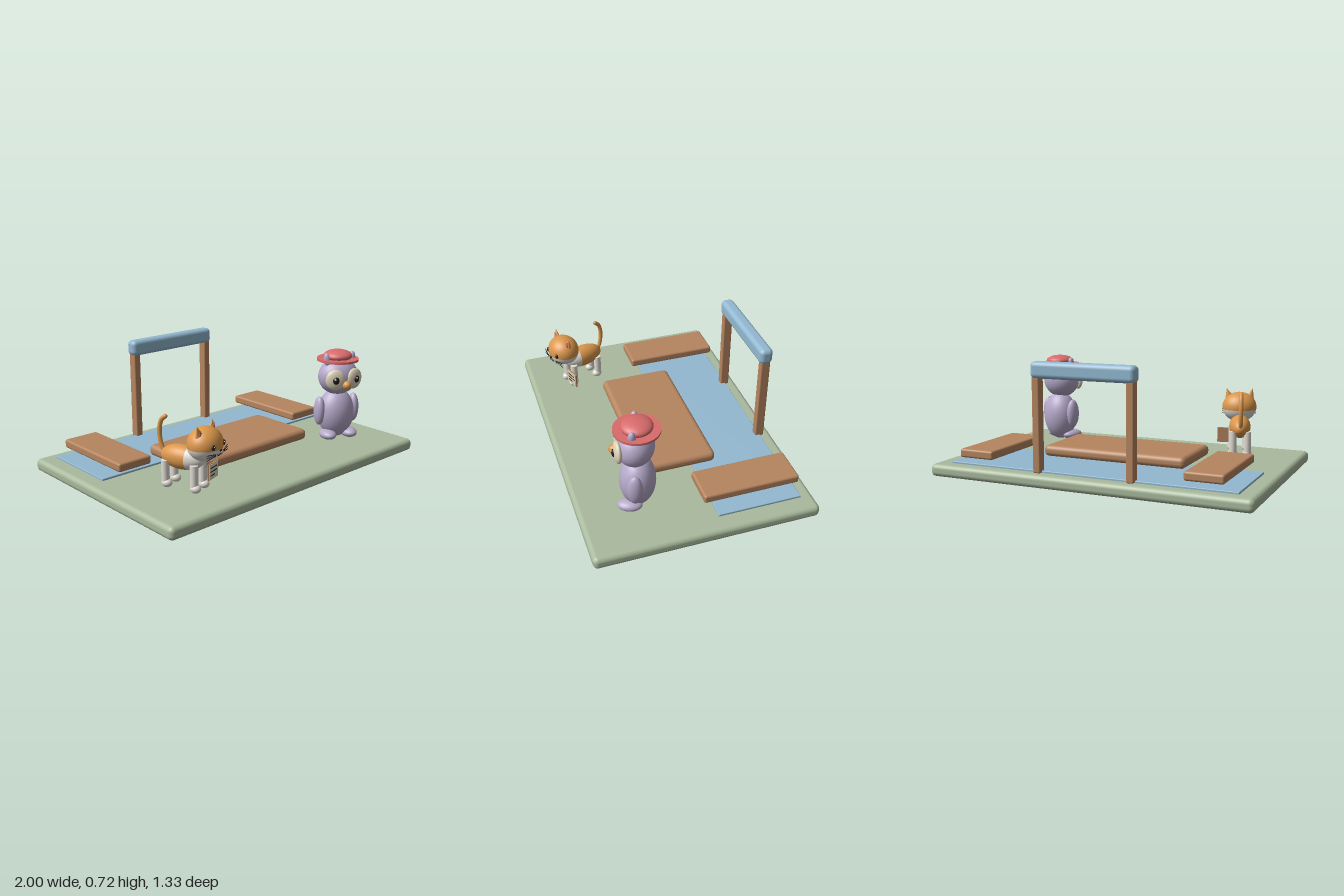
import * as THREE from 'three';
import { RoundedBoxGeometry } from 'three/addons/geometries/RoundedBoxGeometry.js';

const paint = (name, color) => {
  const m = new THREE.MeshStandardMaterial({ color });
  m.name = name;
  return m;
};

export function createModel() {
  const sage = paint('sage', 0xa9ba9d);
  const blue = paint('skyBlue', 0x93b9d1);
  const wood = paint('wood', 0xb6855f);
  const purple = paint('lilac', 0xb5a9c9);
  const red = paint('coral', 0xd96b6b);
  const cream = paint('cream', 0xddd2b8);
  const white = paint('offWhite', 0xe2ddd5);
  const orange = paint('ginger', 0xdb974b);
  const black = paint('charcoal', 0x1f1d1d);

  const model = new THREE.Group();
  model.name = 'park';

  const add = (parent, name, geo, mat, x = 0, y = 0, z = 0) => {
    const mesh = new THREE.Mesh(geo, mat);
    mesh.name = name;
    mesh.position.set(x, y, z);
    parent.add(mesh);
    return mesh;
  };
  // Rounded box given by its extents on each axis
  const slab = (name, mat, [x0, x1], [y0, y1], [z0, z1], r) =>
    add(model, name, new RoundedBoxGeometry(x1 - x0, y1 - y0, z1 - z0, 4, r), mat,
      (x0 + x1) / 2, (y0 + y1) / 2, (z0 + z1) / 2);
  const ball = (parent, name, mat, [x, y, z], [rx, ry, rz]) =>
    add(parent, name, new THREE.SphereGeometry(1, 32, 20).scale(rx, ry, rz), mat, x, y, z);

  // Ground, mat and furniture
  slab('ground', sage, [-1, 1], [0, 0.077], [-0.665, 0.665], 0.03);
  slab('mat', blue, [-0.9, 0.893], [0.07, 0.089], [-0.588, -0.085], 0.004);
  slab('table', wood, [-0.468, 0.465], [0.086, 0.156], [-0.23, 0.225], 0.03);
  slab('rightBench', wood, [-0.825, -0.597], [0.122, 0.175], [-0.605, -0.025], 0.014);
  slab('leftBench', wood, [0.593, 0.82], [0.122, 0.175], [-0.605, -0.025], 0.014);
  for (const x of [-0.292, 0.29])
    slab('post', wood, [x - 0.023, x + 0.023], [0.077, 0.64], [-0.613, -0.556], 0.008);
  slab('crossbar', blue, [-0.325, 0.32], [0.622, 0.719], [-0.626, -0.544], 0.028);

  // Owl
  const owl = new THREE.Group();
  owl.name = 'owl';
  owl.position.set(0.638, 0, 0.31);
  owl.rotation.y = -0.36;
  model.add(owl);
  ball(owl, 'body', purple, [0, 0.255, 0], [0.12, 0.16, 0.104]);
  ball(owl, 'head', purple, [0, 0.5, 0.012], [0.13, 0.118, 0.11]);
  ball(owl, 'beak', orange, [0, 0.465, 0.127], [0.027, 0.027, 0.03]);
  for (const s of [-1, 1]) {
    ball(owl, 'wing', purple, [s * 0.122, 0.278, 0.005], [0.034, 0.094, 0.045]);
    ball(owl, 'foot', purple, [s * 0.075, 0.126, 0.04], [0.05, 0.032, 0.072]);
    ball(owl, 'earTuft', purple, [s * 0.085, 0.61, 0.02], [0.023, 0.046, 0.023]).rotation.z = -s * 0.2;
    const eye = new THREE.Group();
    eye.name = 'eye';
    eye.position.set(s * 0.066, 0.498, 0.1);
    eye.rotation.y = s * 0.3;
    owl.add(eye);
    ball(eye, 'eyeDisc', cream, [0, 0, 0], [0.062, 0.066, 0.025]);
    ball(eye, 'pupil', black, [0, 0, 0.02], [0.021, 0.024, 0.014]);
    ball(eye, 'glint', white, [-0.006, 0.009, 0.031], [0.006, 0.006, 0.005]);
  }
  add(owl, 'hatBrim', new THREE.CylinderGeometry(0.132, 0.132, 0.014, 40), red, 0, 0.607, 0);
  ball(owl, 'hatCrown', red, [0, 0.63, 0], [0.091, 0.038, 0.09]);

  // Cat
  const cat = new THREE.Group();
  cat.name = 'cat';
  cat.position.set(-0.635, 0, 0.31);
  cat.rotation.y = 0.32;
  model.add(cat);
  // Body split into a white chest and a ginger rump
  const bodyPart = (name, mat, start, length) =>
    add(cat, name, new THREE.SphereGeometry(1, 32, 16, 0, Math.PI * 2, start, length)
      .rotateX(Math.PI / 2).scale(0.066, 0.07, 0.135), mat, 0, 0.268, 0);
  bodyPart('chest', white, 0, 1.25);
  bodyPart('rump', orange, 1.25, Math.PI - 1.25);
  for (const x of [-0.044, 0.044]) for (const z of [-0.085, 0.1]) {
    add(cat, 'leg', new THREE.CylinderGeometry(0.023, 0.023, 0.13, 20), white, x, 0.185, z);
    ball(cat, 'paw', white, [x, 0.117, z + 0.008], [0.027, 0.025, 0.032]);
  }
  const tailPath = new THREE.CatmullRomCurve3([[0.25, -0.1], [0.31, -0.135], [0.4, -0.148], [0.46, -0.133], [0.483, -0.108]]
    .map(([y, z]) => new THREE.Vector3(0, y, z)));
  add(cat, 'tail', new THREE.TubeGeometry(tailPath, 28, 0.013, 12), orange);
  ball(cat, 'tailTip', orange, [0, 0.483, -0.108], [0.013, 0.013, 0.013]);

  // Cat head: ginger cap, white muzzle and a pale forehead stripe
  const head = new THREE.Group();
  head.name = 'catHead';
  head.position.set(0, 0.37, 0.145);
  cat.add(head);
  const [hx, hy, hz] = [0.108, 0.095, 0.097];
  add(head, 'cap', new THREE.SphereGeometry(1, 36, 18, 0, Math.PI * 2, 0, 1.72).scale(hx, hy, hz), orange);
  add(head, 'muzzle', new THREE.SphereGeometry(1, 36, 18, 0, Math.PI * 2, 1.72, Math.PI - 1.72).scale(hx, hy, hz), white);
  add(head, 'stripe', new THREE.SphereGeometry(1.012, 20, 6, 1.4, 1.4, Math.PI / 2 - 0.16, 0.32)
    .rotateZ(-Math.PI / 2).scale(hx, -hy, hz).rotateZ(Math.PI), white);
  for (const s of [-1, 1]) {
    const ear = new THREE.Group();
    ear.name = 'ear';
    ear.position.set(s * 0.071, 0.082, 0);
    ear.rotation.z = -s * 0.3;
    head.add(ear);
    add(ear, 'earOuter', new THREE.ConeGeometry(0.034, 0.075, 20).scale(1, 1, 0.6), orange);
    add(ear, 'earInner', new THREE.ConeGeometry(0.023, 0.054, 20).scale(1, 1, 0.5), red, 0, -0.005, 0.012);
    ball(head, 'eye', black, [s * 0.054, 0.005, 0.083], [0.013, 0.016, 0.009]);
    ball(head, 'glint', white, [s * 0.054 - 0.004, 0.011, 0.091], [0.004, 0.004, 0.003]);
    add(head, 'mouth', new THREE.TorusGeometry(0.012, 0.0025, 6, 14, Math.PI).rotateZ(Math.PI), black, s * 0.012, -0.036, 0.091);
    for (const k of [-1, 0, 1]) {
      const whisker = add(head, 'whisker', new THREE.CylinderGeometry(0.002, 0.002, 0.07, 6).rotateZ(Math.PI / 2),
        black, s * 0.075, -0.038 + k * 0.009, 0.082);
      whisker.rotation.set(0, s * 0.2, s * k * 0.15);
    }
  }
  ball(head, 'nose', black, [0, -0.02, 0.096], [0.01, 0.007, 0.007]);

  // Note card with plain ruled lines beside the cat
  const card = new THREE.Group();
  card.name = 'noteCard';
  card.position.set(0.085, 0.187, 0.14);
  cat.add(card);
  add(card, 'cardBack', new THREE.BoxGeometry(0.104, 0.094, 0.008), wood);
  add(card, 'cardFace', new THREE.BoxGeometry(0.096, 0.086, 0.006), cream, 0, 0, 0.004);
  [0.022, 0, -0.022].forEach((y, i) =>
    add(card, 'ruledLine', new THREE.BoxGeometry(i === 2 ? 0.045 : 0.068, 0.005, 0.004), black, i === 2 ? -0.011 : 0, y, 0.007));

  return model;
}
